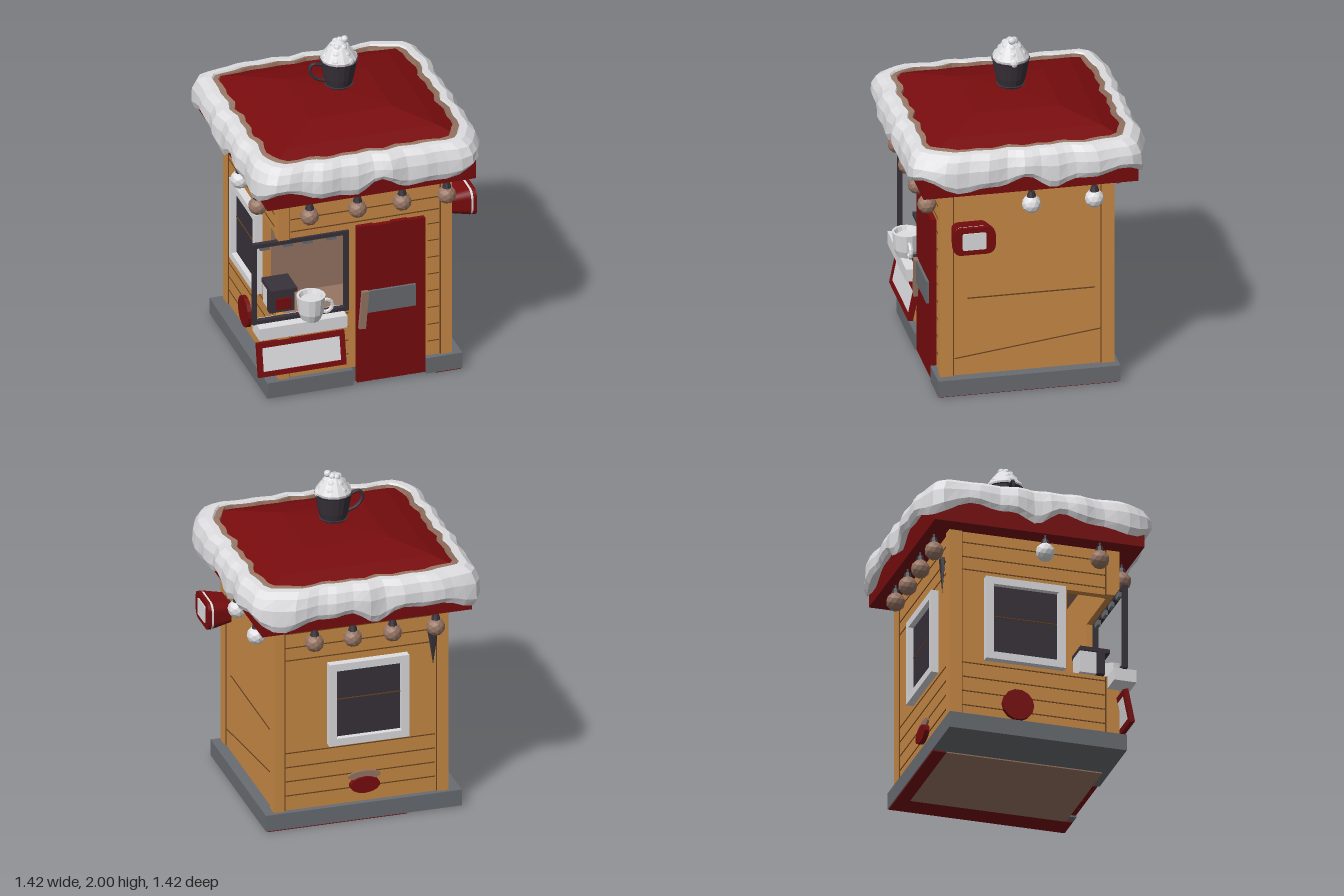
import * as THREE from 'three';

export function createModel() {
  const root = new THREE.Group();
  root.name = 'cocoaKiosk';
  const mat = (name, color, side = THREE.FrontSide) => {
    const m = new THREE.MeshStandardMaterial({ color, side });
    m.name = name;
    return m;
  };
  const wood = mat('honey wood', 0xc98a45), red = mat('deep red', 0x780c0e);
  const snow = mat('snow white', 0xdedee1, THREE.DoubleSide), grey = mat('stone grey', 0x696c71);
  const dark = mat('charcoal', 0x38323a), brown = mat('cocoa brown', 0x977563, THREE.DoubleSide);
  const seam = mat('dark wood seam', 0x6b4420);

  // Helpers: faceted mesh, and box given by its limits
  function add(name, geo, m, x = 0, y = 0, z = 0, parent = root) {
    const g = geo.index ? geo.toNonIndexed() : geo;
    g.computeVertexNormals();
    const mesh = new THREE.Mesh(g, m);
    mesh.name = name;
    mesh.position.set(x, y, z);
    parent.add(mesh);
    return mesh;
  }
  function box(name, m, x0, x1, y0, y1, z0, z1, parent = root) {
    return add(name, new THREE.BoxGeometry(x1 - x0, y1 - y0, z1 - z0), m,
      (x0 + x1) / 2, (y0 + y1) / 2, (z0 + z1) / 2, parent);
  }
  const lathe = (pts, n, start = 0) =>
    new THREE.LatheGeometry(pts.map(p => new THREE.Vector2(p[0], p[1])), n, start);

  // Stone base with a notch for the door
  box('baseLeft', grey, -0.6, -0.08, 0.01, 0.11, -0.535, 0.535);
  box('baseMiddle', grey, -0.08, 0.36, 0.01, 0.11, -0.535, 0.49);
  box('baseRight', grey, 0.36, 0.58, 0.01, 0.11, -0.535, 0.535);
  box('undersideBoard', brown, -0.27, 0.42, 0.003, 0.01, -0.45, 0.49);
  box('undersideTrim', red, 0.42, 0.57, 0.003, 0.01, -0.53, 0.53);
  box('undersideTrim', red, -0.27, 0.42, 0.003, 0.01, -0.53, -0.45);

  // Walls, open at the serving corner
  box('rightWall', wood, 0.47, 0.515, 0.11, 1.3, -0.5, 0.5);
  box('backWall', wood, -0.515, 0.515, 0.11, 1.3, -0.5, -0.45);
  box('leftWallRear', wood, -0.515, -0.47, 0.11, 1.3, -0.5, 0.2);
  box('leftWallLow', wood, -0.515, -0.47, 0.11, 0.5, 0.2, 0.5);
  box('leftWallHigh', wood, -0.515, -0.47, 1.02, 1.3, 0.2, 0.5);
  box('frontWall', wood, -0.1, 0.515, 0.11, 1.3, 0.45, 0.5);
  box('frontWallLow', wood, -0.515, -0.1, 0.11, 0.5, 0.45, 0.5);
  box('frontWallHigh', wood, -0.515, -0.1, 1.02, 1.3, 0.45, 0.5);
  box('innerBackPanel', brown, -0.47, 0.47, 0.11, 1.3, -0.45, -0.445);
  box('innerPanel', grey, -0.23, -0.05, 0.7, 1.02, -0.445, -0.437);
  box('ceiling', brown, -0.47, 0.47, 1.28, 1.29, -0.45, 0.45);
  box('floor', brown, -0.47, 0.47, 0.11, 0.117, -0.45, 0.45);

  // Corner boards with dark seams beside them
  for (const sx of [-1, 1]) for (const sz of [-1, 1]) {
    const spans = sx < 0 && sz > 0 ? [[0.11, 0.5], [1.02, 1.3]] : [[0.11, 1.3]];
    for (const [a, b] of spans) {
      add('cornerBoard', new THREE.BoxGeometry(0.065, b - a, 0.075), wood, sx * 0.493, (a + b) / 2, sz * 0.475);
      add('cornerSeam', new THREE.BoxGeometry(0.006, b - a, 0.006), seam, sx * 0.457, (a + b) / 2, sz * 0.501);
      add('cornerSeam', new THREE.BoxGeometry(0.006, b - a, 0.006), seam, sx * 0.516, (a + b) / 2, sz * 0.434);
    }
  }

  // Plank seams
  for (const y of [0.2, 0.29, 0.38, 0.47, 1.06, 1.14, 1.23]) {
    box('backSeam', seam, -0.45, 0.45, y, y + 0.006, -0.503, -0.499);
    box('leftSeam', seam, -0.518, -0.514, y, y + 0.006, -0.43, 0.43);
    box('frontSeam', seam, -0.45, y > 1 ? 0.45 : -0.1, y, y + 0.006, 0.499, 0.503);
  }
  for (let i = 0; i < 8; i++) box('frontSeam', seam, 0.38, 0.45, 0.2 + i * 0.11, 0.205 + i * 0.11, 0.499, 0.503);
  box('rightSeam', seam, 0.514, 0.518, 0.59, 0.597, -0.4, 0.35);
  const slant = box('rightSeam', seam, 0.514, 0.518, 0.27, 0.276, -0.44, 0.43);
  slant.rotation.x = 0.13;

  // Plank door with sign plate and stick handle
  for (let i = 0; i < 4; i++) {
    const x = -0.055 + i * 0.104;
    box('doorPlank', red, x, x + 0.1, 0.02, 1.04 - (i % 2) * 0.006, 0.495, 0.53);
  }
  box('doorBacking', red, -0.05, 0.355, 0.025, 1.03, 0.49, 0.522);
  box('doorPlate', grey, 0, 0.295, 0.475, 0.615, 0.525, 0.545);
  const handle = box('doorHandle', brown, -0.04, 0, 0.38, 0.62, 0.53, 0.555);
  handle.rotation.z = -0.08;

  // Serving window frame
  box('frameTop', dark, -0.68, -0.1, 0.995, 1.02, 0.485, 0.515);
  box('frameBottom', dark, -0.68, -0.1, 0.495, 0.52, 0.485, 0.515);
  box('frameLeft', dark, -0.68, -0.657, 0.5, 1.02, 0.485, 0.515);
  box('frameRight', dark, -0.125, -0.1, 0.5, 1.02, 0.485, 0.515);
  for (const x of [-0.6, -0.46, -0.34, -0.2]) box('frameClip', grey, x - 0.03, x + 0.03, 0.965, 0.998, 0.475, 0.495);

  // Counter shelf and tilted menu board
  box('counter', snow, -0.66, -0.13, 0.42, 0.497, 0.44, 0.575);
  const board = new THREE.Group();
  board.name = 'menuBoard';
  board.position.set(-0.395, 0.27, 0.53);
  board.rotation.x = -0.2;
  root.add(board);
  box('boardPanel', snow, -0.25, 0.25, -0.09, 0.09, -0.012, 0.008, board);
  for (const s of [-1, 1]) {
    add('boardRail', new THREE.BoxGeometry(0.53, 0.03, 0.03), red, 0, s * 0.088, 0, board);
    add('boardStile', new THREE.BoxGeometry(0.03, 0.2, 0.03), red, s * 0.25, 0, 0, board);
  }

  // Counter mug and drink machine
  add('mug', lathe([[0, 0], [0.055, 0], [0.075, 0.05], [0.085, 0.155], [0.07, 0.155], [0.06, 0.13], [0, 0.13]], 14), snow, -0.335, 0.49, 0.53);
  add('mugHandle', new THREE.TorusGeometry(0.04, 0.012, 6, 12), snow, -0.245, 0.56, 0.53);
  box('machineBody', snow, -0.54, -0.41, 0.5, 0.64, 0.27, 0.37);
  box('machineFront', dark, -0.55, -0.4, 0.5, 0.65, 0.37, 0.42);
  box('machineLid', dark, -0.55, -0.39, 0.635, 0.66, 0.27, 0.45);
  box('machineTray', red, -0.51, -0.42, 0.52, 0.59, 0.42, 0.43);

  // Framed windows on the back and left walls
  function windowUnit(x, z, angle) {
    const g = new THREE.Group();
    g.name = 'window';
    g.position.set(x, 0.76, z);
    g.rotation.y = angle;
    root.add(g);
    box('pane', dark, -0.2, 0.2, -0.22, 0.22, 0, 0.012, g);
    box('paneBar', seam, -0.2, 0.2, 0.02, 0.025, 0.012, 0.016, g);
    for (const s of [-1, 1]) {
      add('windowRail', new THREE.BoxGeometry(0.48, 0.045, 0.05), snow, 0, s * 0.237, 0.02, g);
      add('windowStile', new THREE.BoxGeometry(0.045, 0.52, 0.05), snow, s * 0.218, 0, 0.02, g);
    }
  }
  windowUnit(-0.04, -0.5, Math.PI);
  windowUnit(-0.515, -0.06, -Math.PI / 2);

  // Small wall ornaments
  const disc = (r, t) => new THREE.CylinderGeometry(r, r, t, 14);
  const backDisc = add('backOrnament', disc(0.09, 0.03), red, -0.02, 0.22, -0.515);
  backDisc.rotation.x = Math.PI / 2;
  backDisc.scale.z = 0.55;
  const backCap = add('backOrnamentCap', disc(0.1, 0.012), brown, -0.02, 0.275, -0.51);
  backCap.rotation.x = Math.PI / 2;
  backCap.scale.z = 0.3;
  const sideDisc = add('sideOrnament', disc(0.095, 0.03), red, -0.525, 0.24, -0.1);
  sideDisc.rotation.z = Math.PI / 2;
  const blade = add('hangingBlade', new THREE.ConeGeometry(0.035, 0.22, 5), dark, -0.43, 1.04, -0.525);
  blade.rotation.z = Math.PI;
  blade.scale.z = 0.5;

  // Wall lamp: rounded red housing with a pale face
  function roundedPlate(w, h, r, depth) {
    const s = new THREE.Shape(), a = w / 2 - r, b = h / 2 - r;
    s.absarc(a, b, r, 0, Math.PI / 2);
    s.absarc(-a, b, r, Math.PI / 2, Math.PI);
    s.absarc(-a, -b, r, Math.PI, Math.PI * 1.5);
    s.absarc(a, -b, r, Math.PI * 1.5, Math.PI * 2);
    return new THREE.ExtrudeGeometry(s, { depth, bevelEnabled: false, curveSegments: 4 });
  }
  const housing = roundedPlate(0.25, 0.165, 0.05, 0.11);
  const hp = housing.attributes.position;
  for (let i = 0; i < hp.count; i++) if (hp.getZ(i) < 0.01) hp.setXY(i, hp.getX(i) * 0.85, hp.getY(i) * 0.75);
  const lamp = new THREE.Group();
  lamp.name = 'wallLamp';
  lamp.position.set(0.545, 1.035, 0.345);
  lamp.rotation.y = Math.PI / 2;
  root.add(lamp);
  add('lampHousing', housing, red, 0, 0, 0, lamp);
  add('lampBand', roundedPlate(0.24, 0.16, 0.05, 0.015), snow, 0, 0, 0.11, lamp);
  add('lampRim', roundedPlate(0.25, 0.17, 0.05, 0.02), red, 0, 0, 0.125, lamp);
  add('lampFace', roundedPlate(0.14, 0.105, 0.012, 0.006), snow, 0, 0, 0.145, lamp);
  box('lampMount', dark, -0.04, 0.04, -0.03, 0.03, -0.03, 0, lamp);

  // String of bulbs under the eaves
  function bulb(x, z, m) {
    add('bulb', new THREE.IcosahedronGeometry(0.056, 1), m, x, 1.195, z);
    add('bulbCap', new THREE.CylinderGeometry(0.018, 0.03, 0.04, 8), dark, x, 1.255, z);
    add('bulbCord', new THREE.CylinderGeometry(0.008, 0.008, 0.05, 5), dark, x, 1.285, z);
  }
  for (const x of [-0.36, -0.07, 0.2, 0.47]) bulb(x, 0.58, brown);
  for (const x of [-0.43, -0.17, 0.07, 0.3]) bulb(x, -0.575, brown);
  for (const z of [-0.38, -0.01]) bulb(0.59, z, snow);
  bulb(-0.605, 0.37, brown);
  bulb(-0.605, 0.04, snow);

  // Low domed roof
  const q = Math.SQRT2;
  add('roof', lathe([[0, 1.3], [0.632 * q, 1.3], [0.632 * q, 1.44], [0.61 * q, 1.53], [0.45 * q, 1.59],
    [0.25 * q, 1.64], [0, 1.67]], 4, Math.PI / 4), red);

  // Snow rim: a profile swept round a soft square, with a wavy drip edge
  function squareLoft(profile, n = 88) {
    const pos = [], idx = [], k = profile.length;
    for (let i = 0; i < n; i++) {
      const t = (i / n) * Math.PI * 2, c = Math.cos(t), s = Math.sin(t);
      const f = Math.pow(Math.abs(c) ** 9 + Math.abs(s) ** 9, -1 / 9);
      const drip = 0.03 * Math.sin(9 * t + 0.6) + 0.018 * Math.sin(17 * t + 1);
      const edge = 0.008 * Math.sin(23 * t) + 0.006 * Math.sin(13 * t + 2);
      profile.forEach(([h, y, d, e]) => pos.push((h + edge * e) * f * c, y + drip * d, (h + edge * e) * f * s));
      for (let j = 0; j < k - 1; j++) {
        const a = i * k + j, b = ((i + 1) % n) * k + j;
        idx.push(a, a + 1, b, b, a + 1, b + 1);
      }
    }
    const g = new THREE.BufferGeometry();
    g.setAttribute('position', new THREE.Float32BufferAttribute(pos, 3));
    g.setIndex(idx);
    return g;
  }
  add('snowRim', squareLoft([[0.64, 1.41, 1, 0], [0.685, 1.375, 1, 0.5], [0.7, 1.41, 0.8, 0.8], [0.695, 1.48, 0.2, 1],
    [0.672, 1.535, 0, 1], [0.635, 1.565, 0, 1], [0.6, 1.568, 0, 1], [0.59, 1.55, 0, 1]]), snow);
  add('snowEdge', squareLoft([[0.61, 1.552, 0, 1], [0.565, 1.566, 0, 1.3], [0.56, 1.54, 0, 1.3]]), brown);

  // Rooftop cup with saucer, handle and whipped cream
  add('saucer', lathe([[0, 0], [0.03, 0], [0.085, 0.035], [0.04, 0.045], [0, 0.045]], 16), dark, 0.01, 1.665, -0.01);
  add('roofCup', lathe([[0, 0], [0.07, 0], [0.088, 0.06], [0.108, 0.165], [0.112, 0.17], [0, 0.17]], 18), dark, 0.01, 1.685, -0.01);
  const curve = new THREE.CatmullRomCurve3([[-0.09, 1.83], [-0.15, 1.845], [-0.165, 1.8], [-0.13, 1.75], [-0.07, 1.725]]
    .map(p => new THREE.Vector3(p[0], p[1], -0.01)));
  add('roofCupHandle', new THREE.TubeGeometry(curve, 14, 0.01, 6), dark);
  add('cream', lathe([[0, 1.84], [0.1, 1.84], [0.108, 1.87], [0.085, 1.905], [0.06, 1.94], [0.03, 1.97], [0, 1.98]], 14), snow, 0.01, 0, -0.01);
  for (let i = 0; i < 18; i++) {
    const k = i / 17, a = i * 1.05, r = 0.085 * (1 - k * 0.75);
    const blob = add('creamDollop', new THREE.IcosahedronGeometry(0.03 - 0.008 * k, 1), snow,
      0.01 + r * Math.cos(a), 1.86 + 0.105 * k, -0.01 + r * Math.sin(a));
    blob.rotation.set(a, i, 0);
  }
  add('creamTip', new THREE.IcosahedronGeometry(0.022, 1), snow, 0.045, 1.978, -0.01);
  return root;
}
